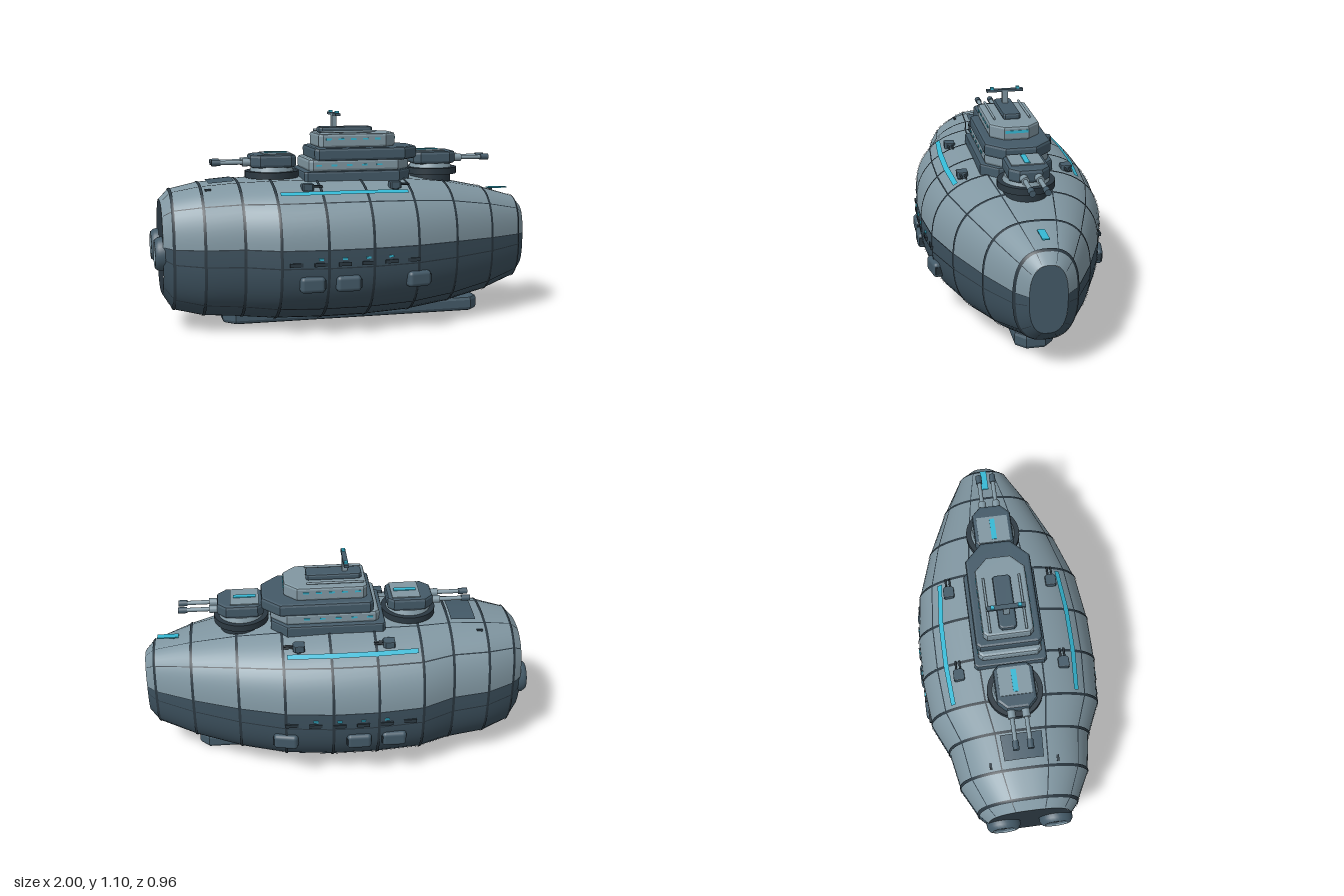
import * as THREE from 'three';
import { RoundedBoxGeometry } from 'three/addons/geometries/RoundedBoxGeometry.js';

const LIGHT = 0x8197a2, DARK = 0x445a68, LOWER = 0x3c505d, TRIM = 0x2b3841, GLOW = 0x35b8d4;
const materials = {};
const mat = (color) => (materials[color] ??= new THREE.MeshStandardMaterial({ color }));

function add(parent, name, geometry, color, x = 0, y = 0, z = 0) {
  const mesh = new THREE.Mesh(geometry, mat(color));
  mesh.name = name;
  mesh.position.set(x, y, z);
  parent.add(mesh);
  return mesh;
}
const box = (w, h, d) => new THREE.BoxGeometry(w, h, d);
const rod = (r, length, r2 = r) => new THREE.CylinderGeometry(r, r2, length, 20).rotateZ(-Math.PI / 2);

// Hull stations: x, half width, top, bottom
const STATIONS = [
  [-0.96, 0.21, 0.655, 0.175], [-0.91, 0.255, 0.705, 0.095], [-0.765, 0.33, 0.735, 0.062],
  [-0.575, 0.365, 0.75, 0.048], [-0.41, 0.44, 0.757, 0.036], [-0.18, 0.462, 0.76, 0.03],
  [0.05, 0.462, 0.76, 0.03], [0.29, 0.435, 0.752, 0.04], [0.52, 0.36, 0.728, 0.065],
  [0.755, 0.255, 0.68, 0.11], [0.95, 0.148, 0.622, 0.172], [1.0, 0.09, 0.57, 0.228],
];
const POWER = 2.6;

// Point on the hull at length x and angle deg (0 = left side, 90 = top)
function hullPoint(x, deg, off = 0) {
  let i = 0;
  while (i < STATIONS.length - 2 && x > STATIONS[i + 1][0]) i++;
  const p = STATIONS[i], q = STATIONS[i + 1];
  const t = THREE.MathUtils.clamp((x - p[0]) / (q[0] - p[0]), 0, 1);
  const [, w, top, bottom] = p.map((v, k) => v + (q[k] - v) * t);
  const c = Math.cos(deg * Math.PI / 180), s = Math.sin(deg * Math.PI / 180);
  const r = (Math.abs(c) ** POWER + Math.abs(s) ** POWER) ** (-1 / POWER);
  return new THREE.Vector3(x, (top + bottom) / 2 + ((top - bottom) / 2 + off) * r * s, (w + off) * r * c);
}

// Patch of plating following the hull surface
function hullPatch(x0, x1, a0, a1, off = 0) {
  const xs = [x0, ...STATIONS.map((s) => s[0]).filter((x) => x > x0 && x < x1), x1];
  const n = Math.max(1, Math.ceil((a1 - a0) / 5)), pos = [], index = [];
  xs.forEach((x, i) => {
    for (let j = 0; j <= n; j++) {
      pos.push(...hullPoint(x, a0 + (a1 - a0) * j / n, off).toArray());
      if (i < xs.length - 1 && j < n) {
        const a = i * (n + 1) + j, b = a + n + 1;
        index.push(a, b, b + 1, a, b + 1, a + 1);
      }
    }
  });
  const g = new THREE.BufferGeometry();
  g.setAttribute('position', new THREE.Float32BufferAttribute(pos, 3));
  g.setIndex(index);
  g.computeVertexNormals();
  return g;
}

// Flat end cap; dir +1 faces the bow, -1 the stern
function hullCap(x, dir) {
  const shape = new THREE.Shape();
  for (let a = 0; a < 360; a += 7.5) {
    const p = hullPoint(x, a);
    a ? shape.lineTo(-p.z * dir, p.y) : shape.moveTo(-p.z * dir, p.y);
  }
  return new THREE.ShapeGeometry(shape).rotateY(dir * Math.PI / 2).translate(x, 0, 0);
}

// Bevelled slab with chamfered corners at bow (cf) and stern (cr)
function slab(x0, x1, hw, y0, y1, cf, cr = 0.015, b = 0.01) {
  const pts = [[x0 + cr, -hw], [x1 - cf, -hw], [x1, -hw + cf], [x1, hw - cf],
    [x1 - cf, hw], [x0 + cr, hw], [x0, hw - cr], [x0, -hw + cr]];
  const shape = new THREE.Shape(pts.map((p) => new THREE.Vector2(...p)));
  return new THREE.ExtrudeGeometry(shape, {
    depth: y1 - y0 - 2 * b, bevelSize: b, bevelThickness: b, bevelOffset: -b, bevelSegments: 2,
  }).rotateX(-Math.PI / 2).translate(0, y0 + b, 0);
}

function makeHull() {
  const hull = new THREE.Group();
  hull.name = 'hull';
  for (let i = 0; i < STATIONS.length - 1; i++) {
    const x0 = STATIONS[i][0], x1 = STATIONS[i + 1][0];
    add(hull, 'upperPlating', hullPatch(x0, x1, 7, 173), LIGHT);
    add(hull, 'lowerPlating', hullPatch(x0, x1, 173, 367), LOWER);
  }
  add(hull, 'bowCap', hullCap(1, 1), DARK);
  add(hull, 'sternCap', hullCap(-0.96, -1), TRIM);
  // Ribs around the hull and seams along it
  for (const [x] of STATIONS.slice(1, -1))
    add(hull, 'rib', hullPatch(x - 0.007, x + 0.007, 0, 360, 0.004), TRIM);
  for (const a of [7, 42, 70.5, -7, -42, -70.5])
    for (const c of [a, 180 - a])
      add(hull, 'seam', hullPatch(-0.955, 0.995, c - 0.5, c + 0.5, 0.003), TRIM);
  add(hull, 'keel', slab(-0.65, 0.75, 0.097, 0, 0.08, 0.05, 0.06, 0.02), DARK);
  add(hull, 'sternHatch', hullPatch(-0.72, -0.59, 74, 106, 0.008), DARK);
  add(hull, 'bowMarker', box(0.11, 0.006, 0.035), GLOW, 0.875, 0.665, 0);
  add(hull, 'bowMarkerPost', box(0.02, 0.04, 0.012), TRIM, 0.84, 0.645, 0);
  return hull;
}

// Fittings repeated on each flank; s = +1 left, -1 right
function makeFlank(s) {
  const flank = new THREE.Group();
  flank.name = s > 0 ? 'leftFlank' : 'rightFlank';
  const ang = (a) => (s > 0 ? a : 180 - a);
  const c = ang(50);
  add(flank, 'lightStrip', hullPatch(-0.39, 0.27, c - 1.7, c + 1.7, 0.01), GLOW);
  for (let i = 0; i < 6; i++) {
    const x = -0.34 + i * 0.12, p = hullPoint(x, -4);
    add(flank, 'ventSlot', box(0.065, 0.018, 0.016), TRIM, x, p.y, s * p.z);
    if (i > 0 && i < 5) add(flank, 'porthole', box(0.024, 0.01, 0.012), GLOW, x, 0.396, s * hullPoint(x, 0).z);
  }
  for (const x of [-0.26, -0.08, 0.29]) {
    const p = hullPoint(x, -21);
    const pod = add(flank, 'sidePod', new RoundedBoxGeometry(0.125, 0.08, 0.07, 3, 0.02), DARK, x, 0.27, s * (p.z - 0.005));
    pod.rotation.y = x > 0.2 ? s * 0.2 : 0;
    add(pod, 'podHatch', box(0.01, 0.04, 0.035), TRIM, 0.06, 0, s * 0.01);
  }
  // Small deck guns
  for (const x of [-0.245, 0.21]) {
    add(flank, 'smallGun', slab(-0.03, 0.03, 0.028, 0, 0.035, 0.012, 0.006, 0.004), DARK, x, 0.712, s * 0.268);
    add(flank, 'smallGunMount', new THREE.CylinderGeometry(0.02, 0.024, 0.05, 16), TRIM, x, 0.7, s * 0.268);
    for (const dz of [-0.01, 0.01])
      add(flank, 'smallBarrel', rod(0.005, 0.05), TRIM, x + 0.05, 0.732, s * 0.268 + dz);
  }
  const v = hullPoint(-0.73, 62);
  add(flank, 'sternCleat', box(0.03, 0.014, 0.012), TRIM, -0.73, v.y, s * v.z);
  // Engine nozzle: lathed ring with a glowing core
  const ring = [[0.045, 0.02], [0.06, 0.04], [0.072, 0.038], [0.085, 0.02], [0.088, -0.01]];
  const nozzle = new THREE.LatheGeometry(ring.map(([r, y]) => new THREE.Vector2(r, y)).reverse(), 32).rotateZ(Math.PI / 2);
  add(flank, 'engineNozzle', nozzle, DARK, -0.96, 0.4, s * 0.135);
  add(flank, 'engineRing', new THREE.TorusGeometry(0.063, 0.009, 8, 32).rotateY(Math.PI / 2), LIGHT, -0.991, 0.4, s * 0.135);
  add(flank, 'engineCore', rod(0.048, 0.03), GLOW, -0.968, 0.4, s * 0.135);
  add(flank, 'engineHub', rod(0.018, 0.04), DARK, -0.97, 0.4, s * 0.135);
  return flank;
}

function makeTurret(name, x, turn) {
  const turret = new THREE.Group();
  turret.name = name;
  turret.position.x = x;
  turret.rotation.y = turn;
  add(turret, 'barbette', new THREE.CylinderGeometry(0.11, 0.11, 0.08, 32), TRIM, 0, 0.73);
  add(turret, 'turretRing', new THREE.CylinderGeometry(0.14, 0.14, 0.034, 40), TRIM, 0, 0.774);
  add(turret, 'turretCollar', new THREE.CylinderGeometry(0.105, 0.115, 0.025, 32), LIGHT, 0, 0.802);
  add(turret, 'turretBody', slab(-0.115, 0.12, 0.1, 0.81, 0.878, 0.045, 0.03, 0.015), DARK);
  add(turret, 'turretRoof', box(0.145, 0.008, 0.16), LIGHT, -0.02, 0.879);
  add(turret, 'roofLight', box(0.115, 0.006, 0.026), GLOW, -0.02, 0.884);
  for (const z of [-0.036, 0.036]) {
    add(turret, 'barrelSleeve', rod(0.02, 0.05), LIGHT, 0.135, 0.838, z);
    add(turret, 'gunBarrel', rod(0.011, 0.19), LIGHT, 0.2, 0.838, z);
    add(turret, 'muzzle', rod(0.016, 0.045), DARK, 0.295, 0.838, z);
  }
  return turret;
}

function makeTower() {
  const tower = new THREE.Group();
  tower.name = 'commandTower';
  add(tower, 'towerBase', slab(-0.24, 0.34, 0.184, 0.7, 0.795, 0.08), DARK);
  add(tower, 'lowerDeck', slab(-0.21, 0.34, 0.16, 0.79, 0.855, 0.08, 0.02, 0.015), LIGHT);
  add(tower, 'middleDeck', slab(-0.18, 0.385, 0.166, 0.845, 0.912, 0.09, 0.02, 0.014), DARK);
  add(tower, 'bridge', slab(-0.15, 0.27, 0.126, 0.91, 0.982, 0.065, 0.02, 0.012), LIGHT);
  add(tower, 'bridgeWindow', box(0.006, 0.014, 0.115), GLOW, 0.27, 0.955);
  add(tower, 'roofPlate', slab(-0.13, 0.155, 0.045, 0.98, 1.013, 0.01), DARK);
  for (const s of [-1, 1]) {
    for (let i = 0; i < 5; i++) {
      add(tower, 'bridgeSideWindow', box(0.03, 0.009, 0.006), GLOW, -0.1 + i * 0.065, 0.955, s * 0.126);
      add(tower, 'deckWindow', box(0.03, 0.009, 0.006), GLOW, -0.16 + i * 0.08, 0.824, s * 0.16);
    }
    add(tower, 'roofRail', rod(0.006, 0.29), LIGHT, 0.01, 0.991, s * 0.09);
    add(tower, 'mastLamp', box(0.018, 0.012, 0.018), GLOW, -0.045, 1.09, s * 0.067);
  }
  add(tower, 'mast', box(0.026, 0.08, 0.028), LIGHT, -0.045, 1.04);
  add(tower, 'mastCrossbar', box(0.024, 0.013, 0.19), DARK, -0.045, 1.079);
  return tower;
}

export function createModel() {
  const model = new THREE.Group();
  model.name = 'armouredAirship';
  model.add(makeHull(), makeFlank(1), makeFlank(-1), makeTower(),
    makeTurret('foreTurret', 0.49, 0), makeTurret('aftTurret', -0.377, Math.PI));
  return model;
}
